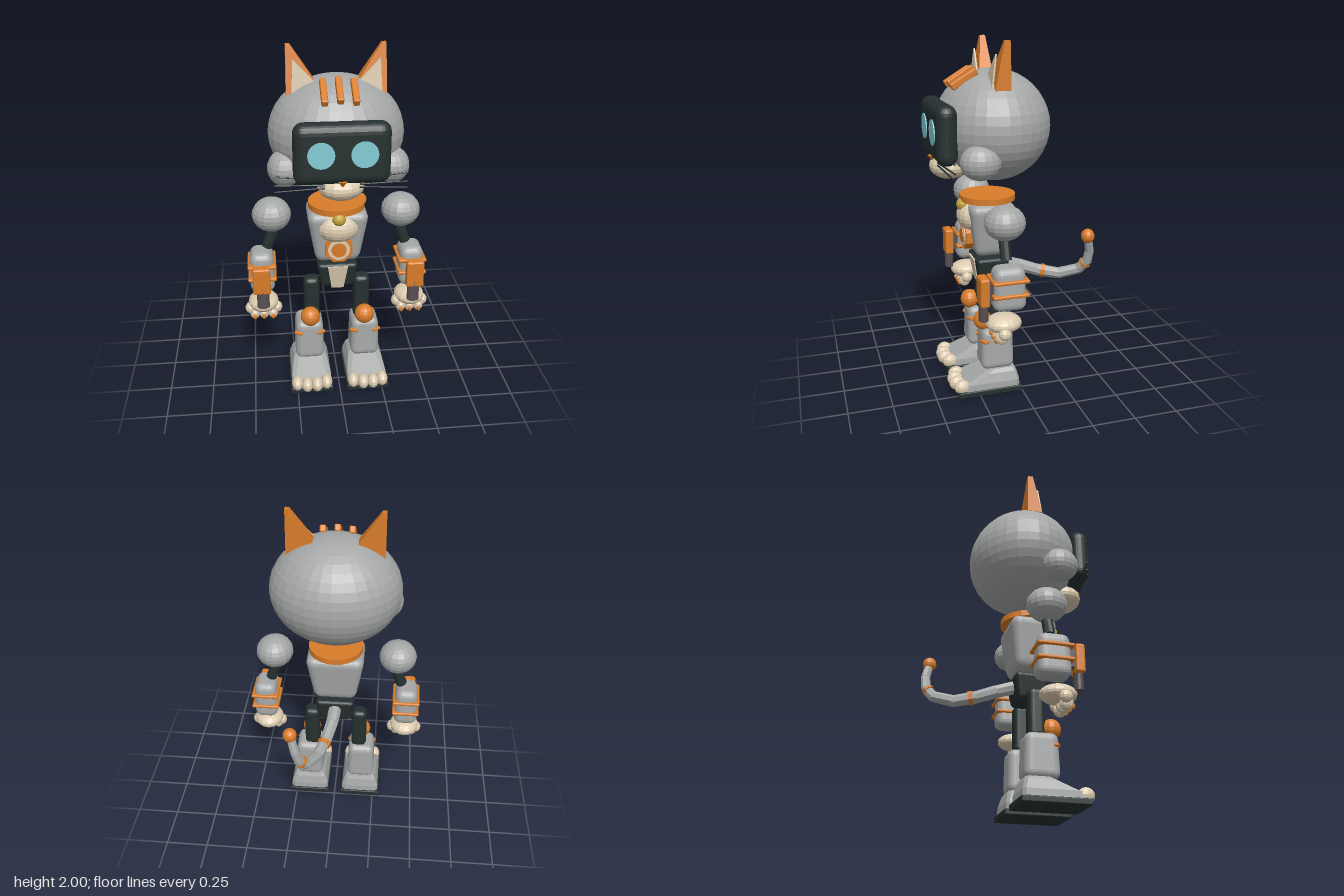
import * as THREE from 'three';
import { RoundedBoxGeometry } from 'three/addons/geometries/RoundedBoxGeometry.js';
import { ConvexGeometry } from 'three/addons/geometries/ConvexGeometry.js';

const V = (x, y, z) => new THREE.Vector3(x, y, z);
const mat = (name, color) => {
  const m = new THREE.MeshStandardMaterial({ color });
  m.name = name;
  m.flatShading = true;
  return m;
};

export function createModel() {
  const model = new THREE.Group();
  model.name = 'robotCat';
  const grey = mat('grey', 0xa6a8a8), orange = mat('orange', 0xd87c2a), dark = mat('charcoal', 0x263030);
  const cream = mat('cream', 0xdccbb0), cyan = mat('cyan', 0x84ccd4), gold = mat('gold', 0xc4a23c);
  const steel = mat('steel', 0x575052);

  let parent = model;
  const group = (name) => {
    parent = new THREE.Group();
    parent.name = name;
    model.add(parent);
  };
  const add = (name, geo, m, p = [0, 0, 0], rot = [0, 0, 0]) => {
    const mesh = new THREE.Mesh(geo, m);
    mesh.name = name;
    mesh.position.set(...p);
    mesh.rotation.set(...rot);
    parent.add(mesh);
    return mesh;
  };
  // Ellipsoid with radii r
  const ball = (name, m, p, r, w = 16, h = 12) =>
    add(name, new THREE.SphereGeometry(1, w, h).scale(...r), m, p);
  // Rounded box whose width and depth change linearly towards the top and bottom
  const softBox = (name, m, p, [w, h, d], radius, top = 1, bottom = 1, rot) => {
    const geo = new RoundedBoxGeometry(w, h, d, 3, radius);
    const a = geo.attributes.position;
    for (let i = 0; i < a.count; i++) {
      const k = THREE.MathUtils.lerp(bottom, top, a.getY(i) / h + 0.5);
      a.setXYZ(i, a.getX(i) * k, a.getY(i), a.getZ(i) * k);
    }
    geo.computeVertexNormals();
    return add(name, geo, m, p, rot);
  };
  // Cylinder between two points
  const rod = (name, m, a, b, r0, r1 = r0, sides = 10) => {
    const dir = b.clone().sub(a);
    const mesh = add(name, new THREE.CylinderGeometry(r1, r0, dir.length(), sides), m,
      a.clone().add(b).multiplyScalar(0.5).toArray());
    mesh.quaternion.setFromUnitVectors(V(0, 1, 0), dir.normalize());
    return mesh;
  };

  // Head and face
  group('head');
  ball('skull', grey, [0, 1.53, 0.095], [0.368, 0.31, 0.32], 32, 20);
  softBox('visor', dark, [0, 1.513, 0.395], [0.5, 0.325, 0.115], 0.055);
  ball('muzzle', cream, [0, 1.312, 0.345], [0.125, 0.073, 0.11]);
  add('nose', new THREE.ConeGeometry(0.027, 0.035, 8).rotateX(Math.PI), orange, [0, 1.357, 0.437]);
  for (const x of [-0.08, 0, 0.08])
    softBox('browStripe', orange, [x, x ? 1.792 : 1.8, 0.27], [0.034, 0.04, 0.165], 0.008, 1, 1, [0.55, 0, 0]);
  for (const s of [-1, 1]) {
    add('eye', new THREE.CylinderGeometry(0.07, 0.07, 0.008, 24).rotateX(Math.PI / 2), cyan, [s * 0.11, 1.52, 0.455]);
    ball('cheek', grey, [s * 0.285, 1.38, 0.235], [0.095, 0.097, 0.112]);
    for (const [y0, y1] of [[1.38, 1.39], [1.35, 1.34], [1.335, 1.305]])
      rod('whisker', dark, V(s * 0.09, y0, 0.425), V(s * 0.345, y1, 0.385), 0.005, 0.004, 6);
    // Wedge-shaped ear with a thin inner plate
    add('ear', new ConvexGeometry([
      V(s * 0.265, 1.745, 0.06), V(s * 0.265, 1.745, 0.148), V(s * 0.08, 1.76, 0.055), V(s * 0.08, 1.76, 0.142),
      V(s * 0.262, 2, 0.065), V(s * 0.262, 2, 0.095), V(s * 0.24, 2, 0.065), V(s * 0.24, 2, 0.095),
    ]), orange);
    const inner = [[0.238, 1.75, 0.16], [0.122, 1.82, 0.15], [0.228, 1.93, 0.137]];
    add('innerEar', new ConvexGeometry(inner.flatMap(([x, y, z]) => [V(s * x, y, z), V(s * x, y, z - 0.009)])), cream);
  }

  // Torso, collar and chest details
  group('torso');
  add('collar', new THREE.CylinderGeometry(0.16, 0.16, 0.034, 24), orange, [0, 1.118, 0.125]);
  softBox('chest', grey, [0, 0.945, 0.125], [0.35, 0.31, 0.275], 0.05, 1, 0.7);
  ball('bib', cream, [0, 1.01, 0.225], [0.115, 0.085, 0.08]);
  ball('bell', gold, [0, 1.08, 0.27], [0.038, 0.038, 0.038], 12, 10);
  const disc = (name, m, r, z, depth, sides) =>
    add(name, new THREE.CylinderGeometry(r, r, depth, sides).rotateY(Math.PI / sides).rotateX(Math.PI / 2), m, [0, 0.895, z]);
  disc('chestFrame', orange, 0.082, 0.235, 0.07, 8);
  disc('chestRing', cream, 0.062, 0.272, 0.008, 16);
  disc('chestCore', orange, 0.042, 0.278, 0.009, 16);

  // Hips
  group('hips');
  softBox('pelvis', dark, [0, 0.692, 0.12], [0.24, 0.155, 0.2], 0.025, 1, 0.75);
  const flap = [];
  for (const [x, y, z] of [[0.057, 0.757, 0.225], [0.035, 0.61, 0.2]])
    for (const s of [-1, 1]) flap.push(V(s * x, y, z), V(s * x, y, z - 0.03));
  add('hipPlate', new ConvexGeometry(flap), cream);

  // Tail made of tapering links
  group('tail');
  const path = [[0, 0.71, 0.04], [0.01, 0.68, -0.06], [0.035, 0.645, -0.17], [0.075, 0.625, -0.29], [0.125, 0.66, -0.4],
    [0.165, 0.72, -0.435], [0.185, 0.79, -0.44], [0.205, 0.87, -0.42]].map((p) => V(...p));
  const radius = (i) => 0.04 - i * 0.0022;
  for (let i = 0; i < path.length - 1; i++) {
    rod('tailLink', grey, path[i], path[i + 1], radius(i), radius(i + 1), 8);
    if (i) ball('tailJoint', grey, path[i].toArray(), Array(3).fill(radius(i) * 0.98), 8, 6);
  }
  for (const [i, t] of [[2, 0.15], [4, 0.6]]) {
    const mid = path[i].clone().lerp(path[i + 1], t), end = path[i].clone().lerp(path[i + 1], t + 0.2);
    rod('tailBand', orange, mid, end, radius(i) + 0.005, radius(i) + 0.005, 8);
  }
  ball('tailTip', orange, [0.212, 0.89, -0.415], [0.04, 0.042, 0.04], 12, 10);

  for (const s of [-1, 1]) {
    const side = s > 0 ? 'left' : 'right';

    // Arm with banded forearm and gauntlet
    group(side + 'Arm');
    ball('shoulder', grey, [s * 0.365, 1.065, 0.128], [0.11, 0.096, 0.113]);
    rod('upperArm', dark, V(s * 0.335, 1.03, 0.13), V(s * 0.397, 0.865, 0.13), 0.032);
    softBox('forearm', grey, [s * 0.43, 0.725, 0.13], [0.142, 0.245, 0.185], 0.045, 0.92, 1);
    for (const y of [0.775, 0.697])
      softBox('forearmBand', orange, [s * 0.43, y, 0.13], [0.162, 0.02, 0.2], 0.008);
    softBox('gauntlet', orange, [s * 0.435, 0.72, 0.268], [0.1, 0.16, 0.052], 0.012);
    add('barrel', new THREE.CylinderGeometry(0.035, 0.035, 0.13, 12).scale(1, 1, 0.75), steel, [s * 0.43, 0.615, 0.268]);
    add('gauntletMount', new THREE.BoxGeometry(0.07, 0.1, 0.06), steel, [s * 0.43, 0.72, 0.225]);
    ball('palm', cream, [s * 0.43, 0.522, 0.155], [0.088, 0.052, 0.1]);
    for (const dx of [-0.052, 0, 0.052]) {
      ball('finger', cream, [s * 0.43 + dx, 0.458, 0.18], [0.03, 0.038, 0.037], 10, 8);
      ball('claw', orange, [s * 0.43 + dx, 0.448, 0.212], [0.011, 0.018, 0.014], 8, 6);
    }
    for (const dx of [-0.078, 0.078])
      ball('thumb', cream, [s * 0.43 + dx, 0.487, 0.17], [0.03, 0.034, 0.035], 10, 8);

    // Leg
    group(side + 'Leg');
    const x = s * 0.165;
    softBox('thigh', dark, [s * 0.147, 0.51, 0.12], [0.094, 0.28, 0.094], 0.03);
    ball('knee', orange, [s * 0.16, 0.424, 0.2], [0.058, 0.058, 0.056], 14, 10);
    softBox('shin', grey, [x, 0.262, 0.13], [0.172, 0.25, 0.195], 0.04, 0.92, 1);
    for (const t of [-1, 1])
      softBox('shinMark', orange, [x + t * 0.062, 0.318, 0.205], [0.052, 0.02, 0.04], 0.008, 1, 1, [0, t * 0.5, 0]);

    // Foot: sloping body on a flat sole, with four toes
    group(side + 'Foot');
    const foot = [];
    for (const [y, w, z0, z1] of [[0.035, 0.118, 0.01, 0.345], [0.075, 0.116, 0.012, 0.325],
      [0.125, 0.1, 0.025, 0.215], [0.145, 0.085, 0.035, 0.18]])
      for (const t of [-1, 1])
        foot.push(V(x + t * w, y, z0 + 0.015), V(x + t * w, y, z1 - 0.02), V(x + t * (w - 0.02), y, z0), V(x + t * (w - 0.02), y, z1));
    add('footBody', new ConvexGeometry(foot), grey);
    softBox('sole', dark, [x, 0.021, 0.187], [0.25, 0.034, 0.375], 0.006);
    for (const [dx, z] of [[-0.086, 0.35], [-0.029, 0.368], [0.029, 0.368], [0.086, 0.35]])
      ball('toe', cream, [x + dx, 0.06, z], [0.034, 0.042, 0.047], 10, 8);
  }
  return model;
}
